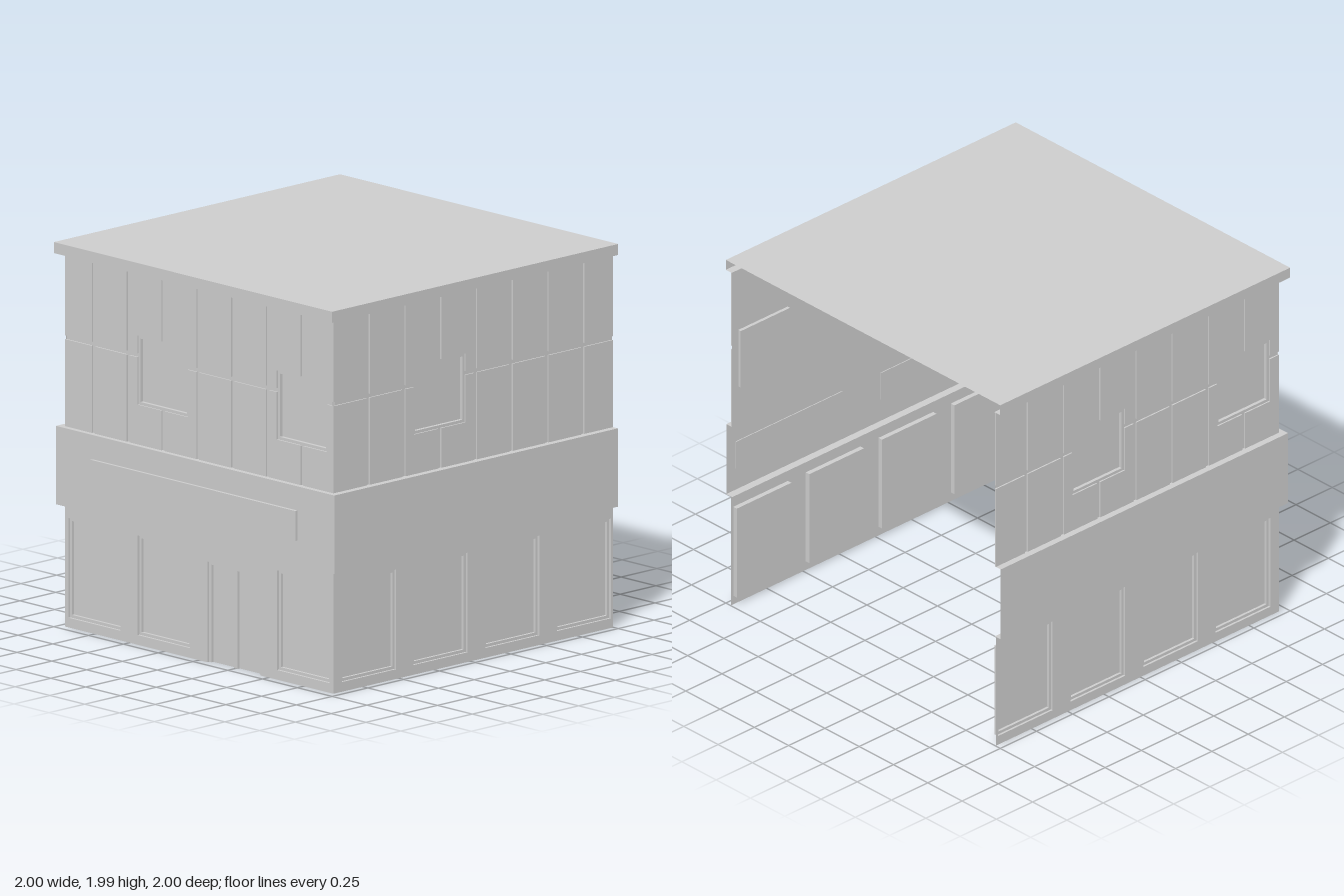
import * as THREE from 'three';

const concrete = new THREE.MeshStandardMaterial({ color: 0xcccccc, side: THREE.DoubleSide });
concrete.name = 'pale grey';

// Heights of the storeys
const BAND_LOW = 0.63, BAND_TOP = 1.035, EAVES = 1.93, TOP = 1.987;
const GROOVE = 0.008, RECESS = 0.026, RIM = 0.015;

function add(parent, name, geometry, x = 0, y = 0, z = 0) {
  const mesh = new THREE.Mesh(geometry, concrete);
  mesh.name = name;
  mesh.position.set(x, y, z);
  parent.add(mesh);
  return mesh;
}

const corners = ([u0, u1, y0, y1]) => [[u0, y0], [u1, y0], [u1, y1], [u0, y1]];
const inset = ([u0, u1, y0, y1], d) => [u0 + d, u1 - d, y0 + d, y1 - d];

function outline(points, holes = []) {
  const toVec = ([x, y]) => new THREE.Vector2(x, y);
  const shape = new THREE.Shape(points.map(toVec));
  for (const h of holes) shape.holes.push(new THREE.Path(corners(h).map(toVec)));
  return shape;
}

const slab = (shape, depth) => new THREE.ExtrudeGeometry(shape, { depth, bevelEnabled: false });

// Box between two depths with some faces left off (0..5 = +x -x +y -y +z -z)
function openBox(parent, name, [u0, u1, y0, y1], z0, z1, skip) {
  const geo = new THREE.BoxGeometry(u1 - u0, y1 - y0, z1 - z0);
  const index = Array.from(geo.index.array);
  geo.setIndex(index.filter((_, i) => !skip.includes(Math.floor(i / 6))));
  geo.clearGroups();
  return add(parent, name, geo, (u0 + u1) / 2, (y0 + y1) / 2, (z0 + z1) / 2);
}

// Protruding strip, open towards the wall and at its ends
function strip(parent, name, u0, u1, y0, y1, back, front, holes = []) {
  add(parent, name, new THREE.ShapeGeometry(outline(corners([u0, u1, y0, y1]), holes)), 0, 0, front);
  for (const y of [y0, y1]) {
    const ledge = new THREE.PlaneGeometry(u1 - u0, front - back).rotateX(y === y0 ? Math.PI / 2 : -Math.PI / 2);
    add(parent, name + 'Ledge', ledge, (u0 + u1) / 2, y, (front + back) / 2);
  }
}

// Cladding panel with one corner cut away where a window overlaps it
function panelPoints([u0, u1, y0, y1], windows) {
  const w = windows.find(w => w[0] < u1 && w[1] > u0 && w[2] < y1 && w[3] > y0);
  if (!w) return corners([u0, u1, y0, y1]);
  const left = w[0] < u0, low = w[2] < y0;
  const cu = left ? w[1] : w[0], cy = low ? w[3] : w[2];
  if (left && low) return [[cu, y0], [u1, y0], [u1, y1], [u0, y1], [u0, cy], [cu, cy]];
  if (left) return [[u0, y0], [u1, y0], [u1, y1], [cu, y1], [cu, cy], [u0, cy]];
  if (low) return [[u0, y0], [cu, y0], [cu, cy], [u1, cy], [u1, y1], [u0, y1]];
  return [[u0, y0], [u1, y0], [u1, cy], [cu, cy], [cu, y1], [u0, y1]];
}

// One facade, drawn in its own plane with +z pointing outwards
function facade(name, o) {
  const g = new THREE.Group();
  g.name = name;
  const [u0, u1] = o.span, W = o.wall;
  const shopWindows = o.shop.map(u => [u, u + 0.377, 0.05, 0.565]);
  const upperWindows = o.upper.map(u => [u, u + 0.362, 1.24, 1.597]);

  // Ground floor wall, notched for the door
  const base = [[u0, 0]];
  if (o.door) {
    const [d0, d1, dTop] = o.door;
    base.push([d0, 0], [d0, dTop], [d1, dTop], [d1, 0]);
  }
  base.push([u1, 0], [u1, BAND_LOW], [u0, BAND_LOW]);
  add(g, 'groundFloorWall', new THREE.ShapeGeometry(outline(base, shopWindows)), 0, 0, W);
  for (const w of shopWindows) {
    openBox(g, 'shopWindow', w, W - RECESS, W, [4]);
    add(g, 'shopWindowFrame', slab(outline(corners(w), [inset(w, RIM)]), 0.014), 0, 0, W - RECESS);
  }

  // Double door
  if (o.door) {
    const [d0, d1, t] = o.door, m = (d0 + d1) / 2, h = 0.012, top = t - RIM;
    openBox(g, 'doorLeaves', [d0, d1, 0, t], W - RECESS, W, [3, 4]);
    const frame = [[d0, 0], [d0 + RIM, 0], [d0 + RIM, top], [m - h, top], [m - h, 0], [m + h, 0],
      [m + h, top], [d1 - RIM, top], [d1 - RIM, 0], [d1, 0], [d1, t], [d0, t]];
    add(g, 'doorFrame', slab(outline(frame), 0.014), 0, 0, W - RECESS);
  }

  // Sign band, with a raised board or boards set behind it
  const [b0, b1] = o.bandSpan;
  const boards = o.boards.map(([a, b]) => [a, b, 0.755, 0.91]);
  strip(g, 'signBand', b0, b1, BAND_LOW, BAND_TOP, W - GROOVE, o.band, o.raised ? boards : []);
  for (const b of boards) {
    if (o.raised) openBox(g, 'signBoard', b, o.band, 1, [5]);
    else openBox(g, 'innerBoard', b, o.band - 0.006, o.band - 0.001, []);
  }

  // Upper wall with recessed windows
  const glass = upperWindows.map(w => inset(w, RIM));
  const upper = outline(corners([u0, u1, BAND_TOP, EAVES]), glass);
  add(g, 'upperWall', new THREE.ShapeGeometry(upper), 0, 0, W - GROOVE);
  for (const w of glass) openBox(g, 'upperWindow', w, W - RECESS, W - GROOVE, [4]);
  for (const u of o.blind || []) {
    openBox(g, 'blindWindow', [u, u + 0.34, 1.255, 1.582], W - RECESS, W - GROOVE, [4]);
  }

  // Cladding panels separated by grooves
  const half = 0.01, joints = [];
  for (let i = 0; i < 7; i++) joints.push(o.firstJoint + i * 0.25);
  const starts = [u0, ...joints.map(j => j + half)], ends = [...joints.map(j => j - half), u1];
  starts.forEach((s, i) => {
    for (const [y0, y1] of [[BAND_TOP, 1.485], [1.505, EAVES]]) {
      const pts = panelPoints([s, ends[i], y0, y1], upperWindows);
      add(g, 'claddingPanel', slab(outline(pts), GROOVE), 0, 0, W - GROOVE);
    }
  });

  // Cornice under the roof edge
  strip(g, 'cornice', -1, 1, EAVES, TOP, W - GROOVE, 1);
  return g;
}

export function createModel() {
  const model = new THREE.Group();
  model.name = 'shopBuilding';

  model.add(facade('frontFacade', {
    span: [-0.965, 0.965], wall: 0.957, band: 0.985, bandSpan: [-1, 1],
    shop: [-0.94, -0.442, 0.56], door: [0.06, 0.44, 0.52], upper: [-0.443, 0.557],
    boards: [[-0.737, 0.735]], raised: true, firstJoint: -0.76
  }));

  const boards = [[0.2, 0.935], [-0.8, -0.065]];
  const rightSide = facade('rightFacade', {
    span: [-0.957, 0.997], wall: 0.965, band: 1, bandSpan: [-0.985, 0.997],
    shop: [-0.896, -0.397, 0.105, 0.605], upper: [-0.395], blind: [0.615],
    boards, firstJoint: -0.713
  });
  rightSide.rotation.y = Math.PI / 2;
  model.add(rightSide);

  const leftSide = facade('leftFacade', {
    span: [-0.997, 0.957], wall: 0.965, band: 1, bandSpan: [-0.997, 0.985],
    shop: [0.519, 0.02, -0.482, -0.982], upper: [0.531, -0.469],
    boards, firstJoint: -0.787
  });
  leftSide.rotation.y = -Math.PI / 2;
  model.add(leftSide);

  // Flat roof
  add(model, 'roof', new THREE.PlaneGeometry(2, 2).rotateX(-Math.PI / 2), 0, TOP, 0);
  return model;
}
